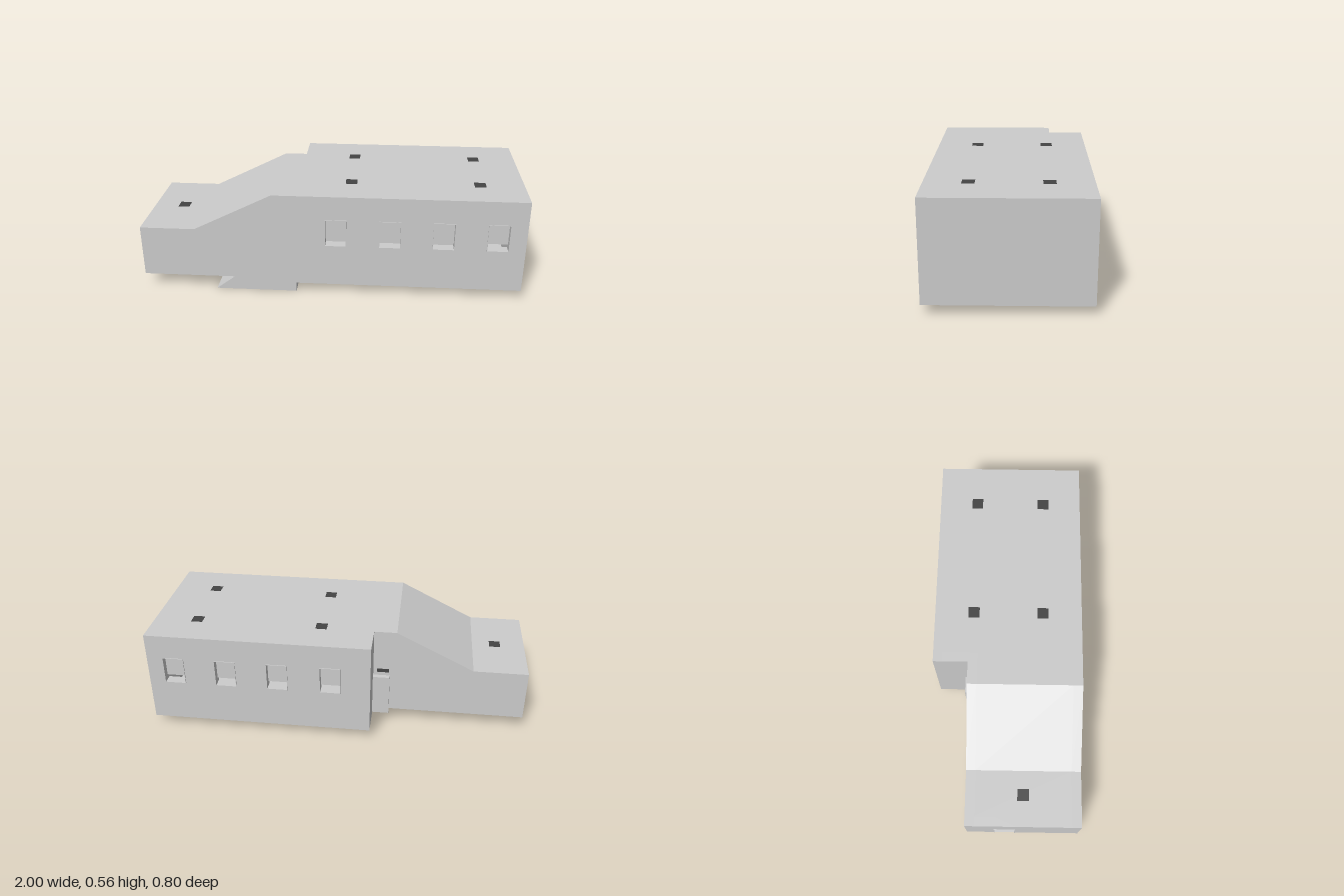
import * as THREE from 'three';

const grey = new THREE.MeshStandardMaterial({ color: 0xcccccc, flatShading: true });
const dark = new THREE.MeshStandardMaterial({ color: 0x444444, flatShading: true });

const FRONT = 0.393, BACK = -0.393, LOW_BACK = -0.21, T = 0.05, END = -0.997;
const WINDOWS = [-0.025, 0.255, 0.53, 0.805];
const WIN_W = 0.107, SILL = 0.28, HEAD = 0.425;

export function createModel() {
  const group = new THREE.Group();

  const add = (name, geometry, material = grey) => {
    const mesh = new THREE.Mesh(geometry, material);
    mesh.name = name;
    group.add(mesh);
    return mesh;
  };

  // box given by its lower and upper corners
  const box = (name, x0, x1, y0, y1, z0, z1, material) =>
    add(name, new THREE.BoxGeometry(x1 - x0, y1 - y0, z1 - z0), material)
      .position.set((x0 + x1) / 2, (y0 + y1) / 2, (z0 + z1) / 2);

  const path = (pts) => pts.map(([x, y]) => new THREE.Vector2(x, y));
  const rect = (x0, x1, y0, y1) => [[x0, y0], [x1, y0], [x1, y1], [x0, y1]];

  // outline in x and y, with holes, extruded from z0 to z1
  const slab = (name, outline, z0, z1, holes = []) => {
    const shape = new THREE.Shape(path(outline));
    for (const h of holes) shape.holes.push(new THREE.Path(path(h).reverse()));
    const geometry = new THREE.ExtrudeGeometry(shape, { depth: z1 - z0, bevelEnabled: false });
    geometry.translate(0, 0, z0);
    return add(name, geometry);
  };

  const openings = WINDOWS.map((x) => rect(x, x + WIN_W, SILL, HEAD));

  // long walls
  slab('frontWall', [[END, 0.075], [-0.18, 0.075], [-0.18, 0.05], [1, 0.05], [1, 0.555],
    [-0.3, 0.555], [-0.71, 0.35], [END, 0.35]], FRONT - T, FRONT, openings);
  slab('mainBackWall', rect(-0.18, 1, 0.05, 0.555), BACK, BACK + T, openings);
  slab('lowBackWall', [[END, 0.075], [-0.18, 0.075], [-0.18, 0.555],
    [-0.3, 0.555], [-0.71, 0.35], [END, 0.35]], LOW_BACK, LOW_BACK + T);

  // end walls and the step in plan
  box('rightEndWall', 1 - T, 1, 0.05, 0.555, BACK + T, FRONT - T);
  box('stepWall', -0.18, -0.18 + T, 0.05, 0.555, BACK + T, LOW_BACK + T);

  // low end wall with a doorway
  const zA = LOW_BACK + T, zB = FRONT - T, dA = -0.06, dB = 0.05, doorTop = 0.22;
  box('endWallBackPart', END, END + T, 0.075, 0.35, zA, dA);
  box('endWallFrontPart', END, END + T, 0.075, 0.35, dB, zB);
  box('endWallLintel', END, END + T, doorTop, 0.35, dA, dB);
  box('endDoor', END + 0.025, END + T, 0.1, doorTop, dA, dB);
  box('endDoorSill', END, END + T, 0.075, 0.08, dA, dB);
  for (const z of [dA, dB]) box('endDoorJamb', -1, END, 0.075, doorTop, z - 0.002, z + 0.002);
  box('endDoorHead', -1, END, doorTop - 0.003, doorTop, dA, dB);

  // roof, sloping down over the low part
  slab('roof', [[END + T, 0.32], [-0.7, 0.32], [-0.29, 0.525], [1 - T, 0.525], [1 - T, 0.555],
    [-0.3, 0.555], [-0.71, 0.35], [END + T, 0.35]], zA, zB);
  box('roofBackPart', -0.18 + T, 1 - T, 0.525, 0.555, BACK + T, zA);
  const hatches = [[-0.835, 0.09], [0.1, 0.185], [0.1, -0.185], [0.77, 0.185], [0.77, -0.185]];
  for (const [x, z] of hatches) {
    const y = x < -0.7 ? 0.35 : 0.555;
    box('roofHatch', x - 0.03, x + 0.03, y - 0.02, y + 0.001, z - 0.03, z + 0.03, dark);
  }

  // floor, set above the wall feet, with thicker corner pads
  box('floor', END + T, 1 - T, 0.075, 0.1, zA, zB);
  box('floorBackPart', -0.18 + T, 1 - T, 0.075, 0.1, BACK + T, zA);
  box('frontFloorPad', -0.18, -0.01, 0.05, 0.075, 0.175, zB);
  box('backFloorPad', -0.18 + T, -0.01, 0.05, 0.075, BACK + T, -0.19);

  // inner partition
  box('partition', END + T, 0.75, 0.1, 0.32, -0.01, 0.01);

  // windows on both long sides: pane with a gap above the sill, and a thin frame
  for (const side of [1, -1]) {
    const face = side * FRONT;
    for (const x of WINDOWS) {
      const a = face - side * 0.03, b = face - side * T;
      box('windowPane', x, x + WIN_W, SILL + 0.025, HEAD, Math.min(a, b), Math.max(a, b));
      const out = face + side * 0.005;
      slab('windowFrame', rect(x - 0.002, x + WIN_W + 0.002, SILL - 0.002, HEAD + 0.002),
        Math.min(face, out), Math.max(face, out), [rect(x, x + WIN_W, SILL, HEAD)]);
    }
  }

  // back door and the dark gap above it
  box('backDoor', -0.27, -0.18, 0.06, 0.29, -0.235, LOW_BACK);
  box('backDoorGap', -0.265, -0.2, 0.31, 0.33, LOW_BACK - 0.002, LOW_BACK, dark);

  // sunken stair under the front side
  slab('sunkenStair', [[-0.61, 0], [-0.18, 0], [-0.18, 0.075], [-0.51, 0.075]], 0.19, FRONT);

  return group;
}
